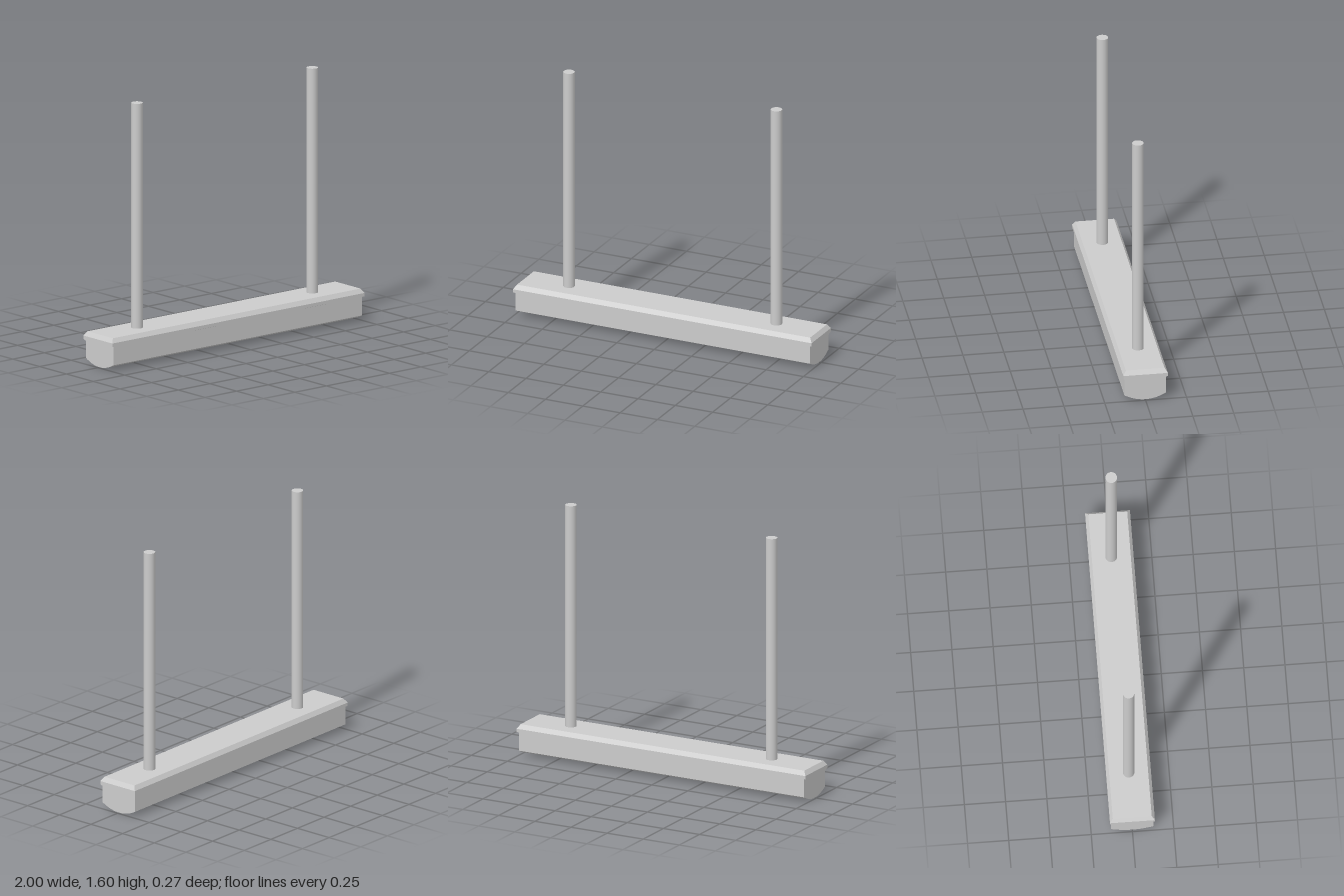
import * as THREE from 'three';
import { toCreasedNormals } from 'three/addons/utils/BufferGeometryUtils.js';

const grey = new THREE.MeshStandardMaterial({ color: 0xcccccc });

function addMesh(group, name, geometry) {
  const mesh = new THREE.Mesh(geometry, grey);
  mesh.name = name;
  group.add(mesh);
  return mesh;
}

// Bar along x whose section has a flat top, upright sides and a bowed underside
function bowedBar(halfLength, halfWidth, top, edge, bottom) {
  const shape = new THREE.Shape();
  shape.moveTo(-halfWidth, top);
  shape.lineTo(-halfWidth, edge);
  shape.quadraticCurveTo(0, 2 * bottom - edge, halfWidth, edge);
  shape.lineTo(halfWidth, top);
  shape.closePath();
  const geo = new THREE.ExtrudeGeometry(shape, {
    depth: 2 * halfLength, bevelEnabled: false, curveSegments: 20,
  });
  geo.translate(0, 0, -halfLength);
  geo.rotateY(Math.PI / 2);
  return toCreasedNormals(geo, 0.5);
}

// Box whose top face is drawn in by the same inset on all four sides
function taperedSlab(halfLength, halfWidth, y0, y1, inset) {
  const geo = new THREE.BoxGeometry(2 * halfLength, y1 - y0, 2 * halfWidth).toNonIndexed();
  geo.translate(0, (y0 + y1) / 2, 0);
  const p = geo.attributes.position;
  for (let i = 0; i < p.count; i++) {
    if (p.getY(i) < (y0 + y1) / 2) continue;
    p.setX(i, p.getX(i) - Math.sign(p.getX(i)) * inset);
    p.setZ(i, p.getZ(i) - Math.sign(p.getZ(i)) * inset);
  }
  geo.computeVertexNormals();
  return geo;
}

export function createModel() {
  const model = new THREE.Group();
  model.name = 'linearPendantLamp';

  // Light bar with bowed underside
  addMesh(model, 'diffuser', bowedBar(0.987, 0.128, 0.17, 0.036, 0.003 - 0.003));

  // Cover: overhanging rim and chamfered top
  addMesh(model, 'coverRim', bowedBar(1, 0.136, 0.175, 0.154, 0.13));
  addMesh(model, 'coverTop', taperedSlab(1, 0.136, 0.175, 0.202, 0.018));

  // Two suspension rods
  for (const x of [-0.69, 0.7]) {
    const rod = addMesh(model, 'suspensionRod', new THREE.CylinderGeometry(0.035, 0.035, 1.41, 32));
    rod.position.set(x, 0.19 + 1.41 / 2, 0);
  }
  return model;
}
